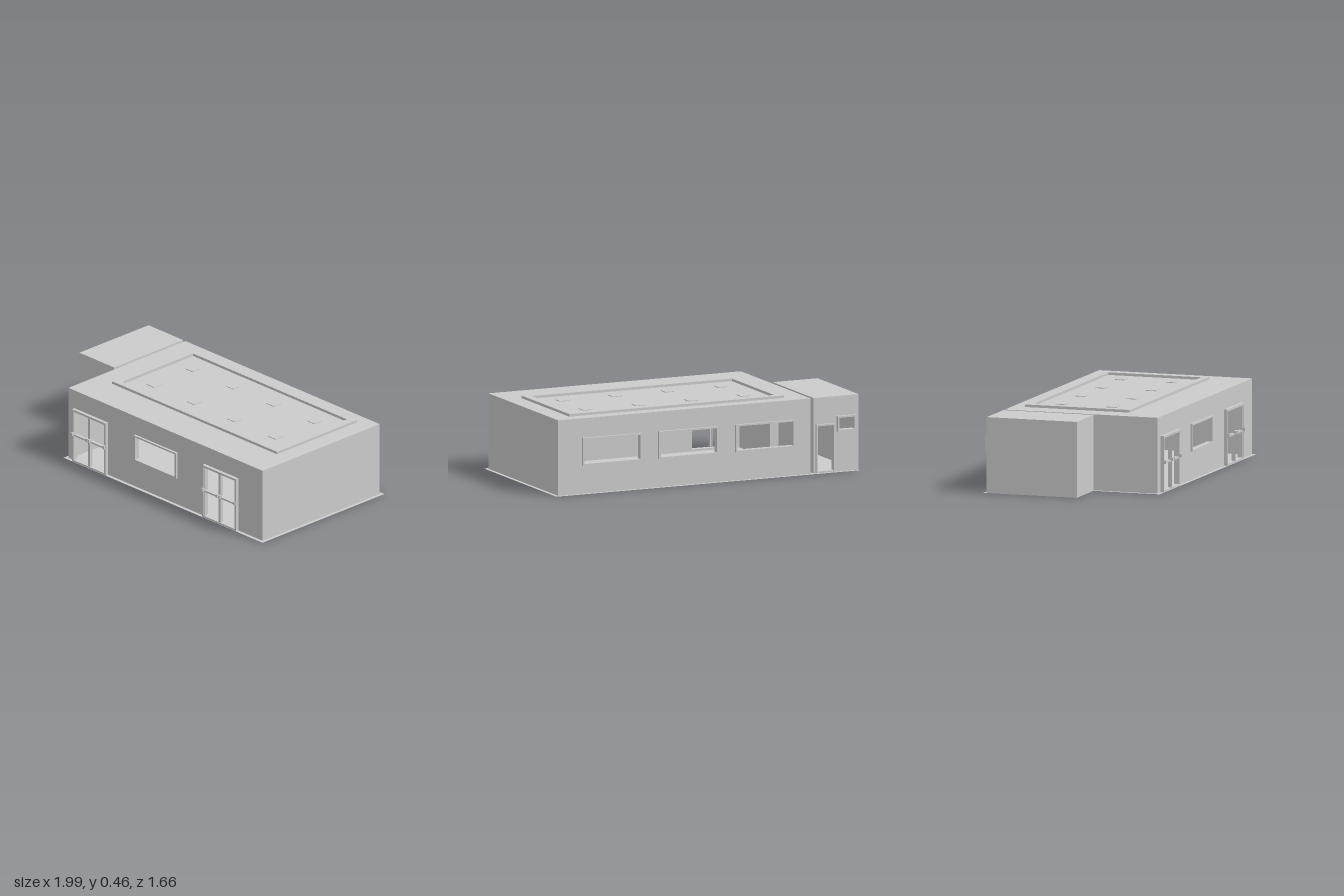
import * as THREE from 'three';

const MAT = new THREE.MeshStandardMaterial({ color: 0xcccccc, side: THREE.DoubleSide, flatShading: true });
const H = 0.44;      // roof height
const T = 0.015;     // wall and roof thickness

function rect(target, x0, x1, y0, y1) {
  target.moveTo(x0, y0);
  target.lineTo(x1, y0);
  target.lineTo(x1, y1);
  target.lineTo(x0, y1);
  target.closePath();
  return target;
}

// Flat panel with rectangular openings, extruded along +z
function panel(name, outer, holes, depth) {
  const shape = rect(new THREE.Shape(), ...outer);
  for (const h of holes) shape.holes.push(rect(new THREE.Path(), ...h));
  const mesh = new THREE.Mesh(new THREE.ExtrudeGeometry(shape, { depth, bevelEnabled: false }), MAT);
  mesh.name = name;
  return mesh;
}

function box(name, x0, x1, y0, y1, z0, z1) {
  const mesh = new THREE.Mesh(new THREE.BoxGeometry(x1 - x0, y1 - y0, z1 - z0), MAT);
  mesh.position.set((x0 + x1) / 2, (y0 + y1) / 2, (z0 + z1) / 2);
  mesh.name = name;
  return mesh;
}

// Rim around an opening [x0, x1, y0, y1]
function frame(name, [x0, x1, y0, y1], z, depth, bar = 0.01) {
  const mesh = panel(name, [x0, x1, y0, y1], [[x0 + bar, x1 - bar, y0 + bar, y1 - bar]], depth);
  mesh.position.z = z;
  return mesh;
}

// Two glazed leaves with middle rails and handles
function doubleDoor(o) {
  const g = new THREE.Group();
  g.name = 'doubleDoor';
  const [x0, x1, y0, y1] = o;
  const mid = (x0 + x1) / 2;
  g.add(frame('doorFrame', o, 0.45, 0.037, 0.01));
  for (const [a, b] of [[x0 + 0.01, mid - 0.001], [mid + 0.001, x1 - 0.01]]) {
    g.add(frame('doorLeaf', [a, b, y0 + 0.003, y1 - 0.008], 0.464, 0.02, 0.006));
    g.add(box('doorRail', a, b, 0.163, 0.173, 0.464, 0.484));
  }
  for (const x of [x0 + 0.008, mid - 0.01, mid + 0.01, x1 - 0.008])
    g.add(box('doorHandle', x - 0.006, x + 0.006, 0.167, 0.187, 0.48, 0.498));
  return g;
}

export function createModel() {
  const model = new THREE.Group();
  const b = new THREE.Group();
  b.name = 'building';
  b.rotation.y = -0.4137;
  b.position.set(0.045, 0, 0.055);
  model.add(b);

  const U = 0.8, V = 0.466, top = H - T;
  const AL = -1.105, AR = -0.82, AF = 0.083;   // annex left, right, front

  // Ground plate under hall and annex
  const plate = new THREE.Shape([[-0.82, 0.486], [0.82, 0.486], [0.82, -0.486], [AL, -0.486], [AL, AF], [AR, AF]]
    .map(([x, z]) => new THREE.Vector2(x, -z)));
  const ground = new THREE.Mesh(new THREE.ShapeGeometry(plate), MAT);
  ground.rotation.x = -Math.PI / 2;
  ground.name = 'groundPlate';
  b.add(ground);

  // Openings
  const doors = [-0.612, 0.463].map(c => [c - 0.139, c + 0.139, 0.002, 0.328]);
  const frontWindow = [-0.249, 0.1, 0.165, 0.326];
  const backWindows = [0.462, -0.022, -0.508].map(c => [c - 0.188, c + 0.188, 0.165, 0.326]);
  const annexDoor = [-0.952, -0.832, 0.002, 0.285];
  const annexWindow = [-1.08, -0.965, 0.235, 0.325];
  const passage = [-0.046, 0.074, 0.002, 0.285];

  // Walls running along the length
  const along = (name, x0, x1, holes, z) => {
    const m = panel(name, [x0, x1, 0, top], holes, T);
    m.position.z = z;
    b.add(m);
  };
  along('frontWall', -U, U, [...doors, frontWindow], V - T);
  along('backWall', -U, U, backWindows, -V);
  along('annexFrontWall', AL, AR, [], AF - T);
  along('annexBackWall', AL, AR, [annexDoor, annexWindow], -V);

  // Walls running across the depth
  const across = (name, z0, z1, holes, x) => {
    const m = panel(name, [-z1, -z0, 0, top], holes, T);
    m.rotation.y = Math.PI / 2;
    m.position.x = x;
    b.add(m);
  };
  across('rightWall', -V, V, [], U - T);
  across('leftWall', -V, V, [passage], -U);
  across('annexLeftWall', -V, AF, [], AL);
  across('annexRightWall', -V, AF, [passage], AR - T);

  // Lining of the passage between hall and annex
  const lining = frame('passageFrame', passage, 0, 0.056, 0.006);
  lining.rotation.y = Math.PI / 2;
  lining.position.x = AR - T - 0.003;
  b.add(lining);

  // Doors and window frames
  doors.forEach(o => b.add(doubleDoor(o)));
  b.add(frame('frontWindowFrame', frontWindow, V - 0.02, 0.034));
  backWindows.forEach(o => b.add(frame('backWindowFrame', o, -V - 0.014, 0.034)));
  b.add(frame('annexDoorFrame', annexDoor, -V - 0.012, 0.03));
  b.add(frame('annexWindowFrame', annexWindow, -V - 0.018, 0.038));

  // Roofs
  b.add(box('roof', -U, U, top, H, -V, V));
  b.add(box('annexRoof', AL, AR, top, H, -V, AF));

  // Raised kerb on the main roof
  const kerb = panel('roofKerb', [-0.668, 0.693, -0.247, 0.389], [[-0.622, 0.647, -0.211, 0.354]], 0.015);
  kerb.rotation.x = -Math.PI / 2;
  kerb.position.y = H;
  b.add(kerb);

  // Two rows of square skylights, showing on roof and ceiling
  for (const z of [-0.226, 0.084])
    for (let i = 0; i < 4; i++) {
      const x = -0.49 + 0.334 * i;
      b.add(box('skylight', x - 0.03, x + 0.03, top - 0.004, H + 0.004, z - 0.03, z + 0.03));
    }
  return model;
}
